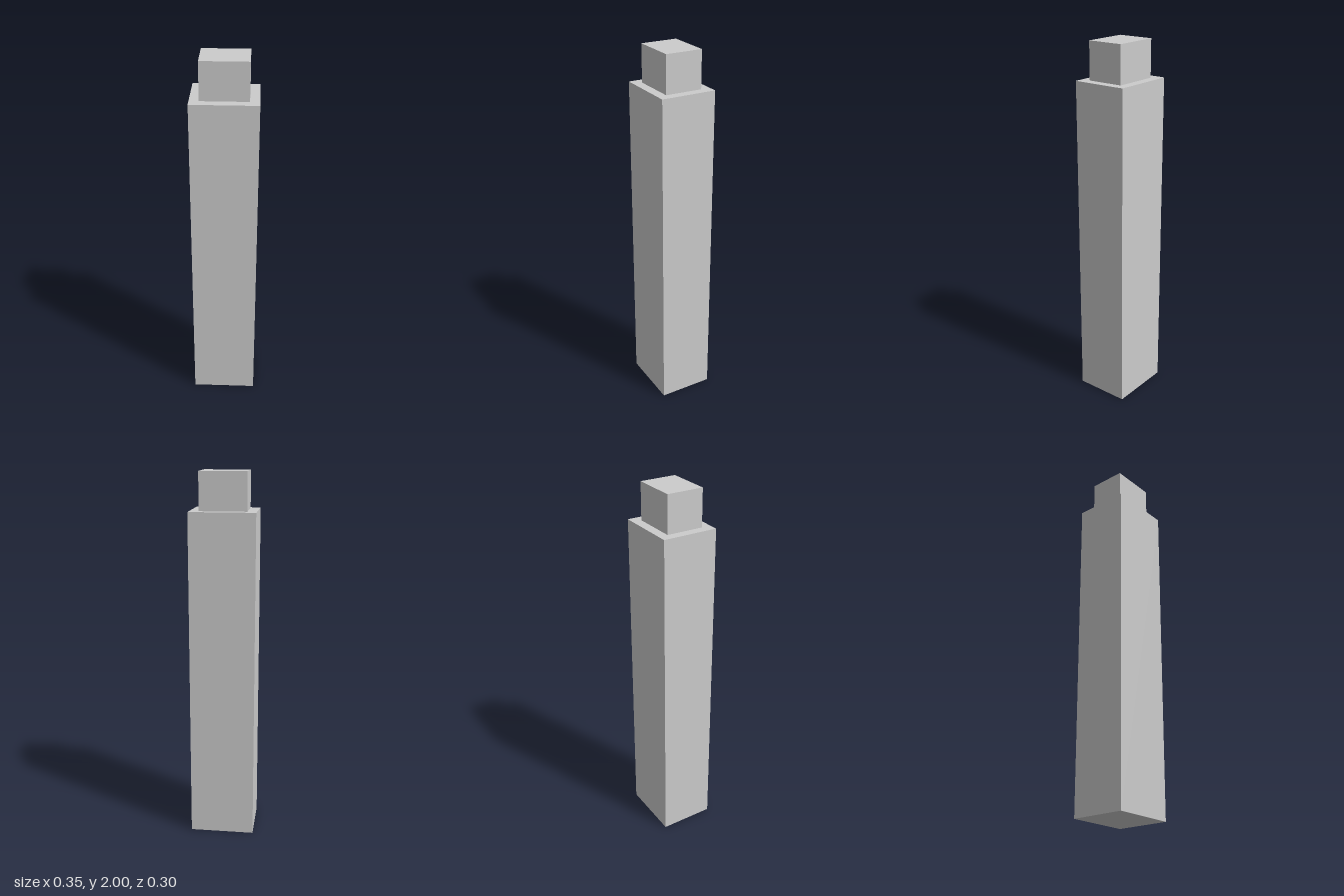
import * as THREE from 'three';

const material = new THREE.MeshStandardMaterial({ color: 0xcccccc, flatShading: true });

// A box centred on x and z, standing at height y
function block(name, width, height, depth, y) {
  const mesh = new THREE.Mesh(new THREE.BoxGeometry(width, height, depth), material);
  mesh.name = name;
  mesh.position.y = y + height / 2;
  return mesh;
}

export function createModel() {
  const model = new THREE.Group();
  model.name = 'steppedPillar';

  // Tall shaft with a smaller block on top
  model.add(block('shaft', 0.35, 1.8, 0.3, 0));
  model.add(block('cap', 0.25, 0.2, 0.2, 1.8));

  return model;
}
